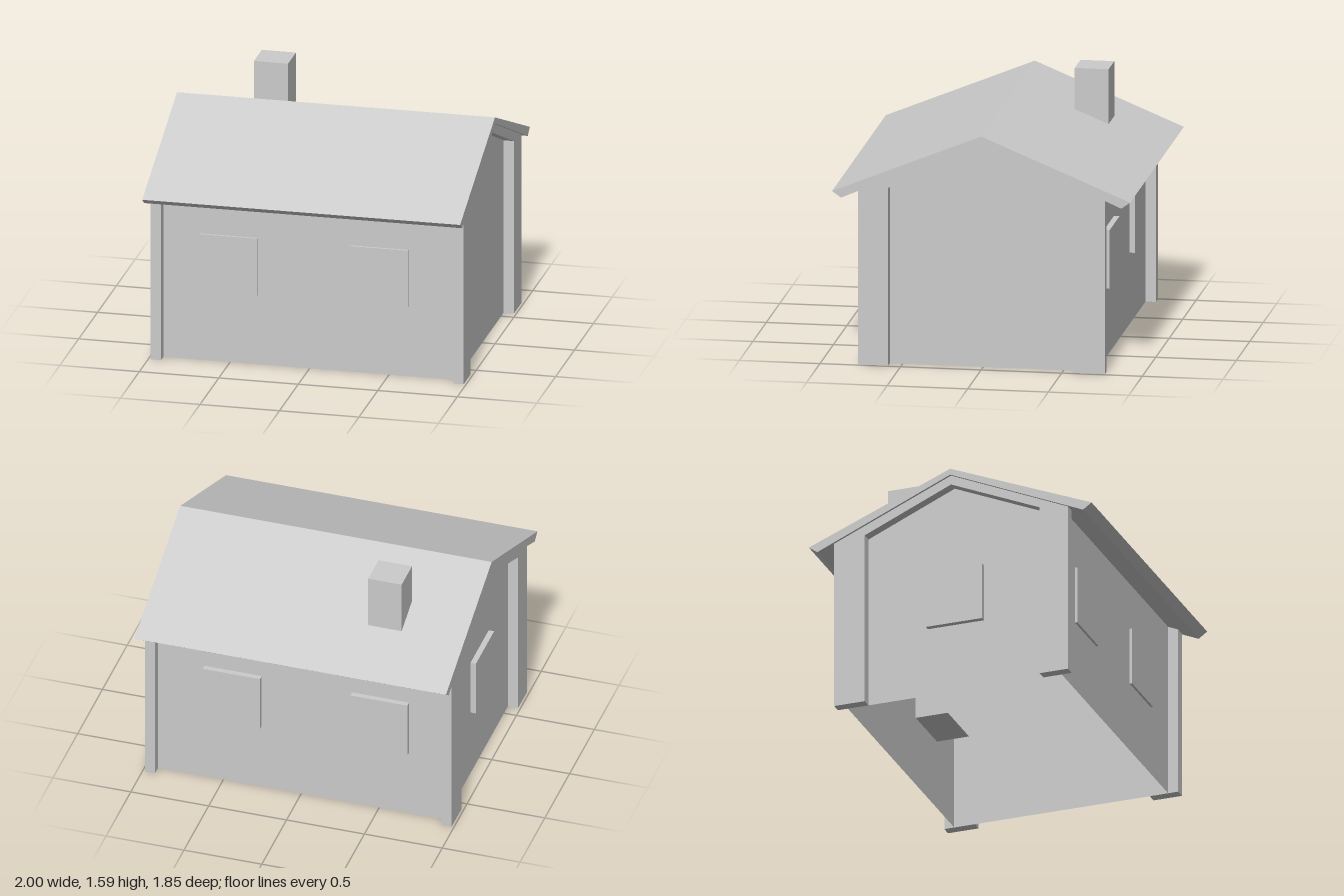
import * as THREE from 'three';

const grey = new THREE.MeshStandardMaterial({ color: 0xcccccc, flatShading: true });
const thin = new THREE.MeshStandardMaterial({ color: 0xcccccc, flatShading: true, side: THREE.DoubleSide });

const WALL_X = 0.92, WALL_Z = 0.7;    // wall sheets
const POST_X = 0.985, POST_Z = 0.765; // outside of the gable frames
const RIDGE = 1.43;                   // ridge of the roof underside
const under = (z) => RIDGE - 0.437 * Math.abs(z);

// Shape from [z, y] points
const outline = (points) => new THREE.Shape(points.map(([z, y]) => new THREE.Vector2(z, y)));

// Extrude a [z, y] shape along x, centred on cx
function extrudeX(shape, length, cx) {
  return new THREE.ExtrudeGeometry(shape, { depth: length, bevelEnabled: false })
    .translate(0, 0, -length / 2).rotateY(-Math.PI / 2).translate(cx, 0, 0);
}

export function createModel() {
  const house = new THREE.Group();
  house.name = 'house';
  const add = (name, geometry, material = grey) => {
    const mesh = new THREE.Mesh(geometry, material);
    mesh.name = name;
    house.add(mesh);
    return mesh;
  };

  // Pitched roof slab
  add('roof', extrudeX(outline([
    [0, 1.47], [-0.925, 1.09], [-0.87, 1.05], [0, RIDGE], [0.87, 1.05], [0.925, 1.09],
  ]), 2, 0));

  // Long walls: thin sheets, open underneath
  const wallTop = under(WALL_Z);
  for (const side of [1, -1]) {
    const wall = add(side > 0 ? 'frontWall' : 'backWall',
      new THREE.PlaneGeometry(2 * WALL_X, wallTop), thin);
    wall.position.set(0, wallTop / 2, side * WALL_Z);
    if (side < 0) wall.rotation.y = Math.PI;
  }

  // Gable walls, each set back behind a frame of corner posts and rafters
  const gable = outline([[-WALL_Z, 0], [WALL_Z, 0], [WALL_Z, wallTop], [0, RIDGE], [-WALL_Z, wallTop]]);
  const frame = outline([
    [-POST_Z, 0], [-0.565, 0], [-0.565, 1.12], [0, 1.37], [0.58, 1.12], [0.58, 0],
    [POST_Z, 0], [POST_Z, under(POST_Z)], [0, RIDGE], [-POST_Z, under(POST_Z)],
  ]);
  for (const side of [1, -1]) {
    const name = side > 0 ? 'left' : 'right';
    add(name + 'GableWall', new THREE.ShapeGeometry(gable).rotateY(-Math.PI / 2)
      .translate(side * WALL_X, 0, 0), thin);
    add(name + 'GableFrame', extrudeX(frame, POST_X - WALL_X, side * (POST_X + WALL_X) / 2));
  }

  // Window boxes reach into the house and are open on the inside
  const depth = 0.245;
  const windowBox = new THREE.BoxGeometry(0.367, 0.37, depth).translate(0, 0, -depth / 2);
  windowBox.setIndex(Array.from(windowBox.index.array).slice(0, 30));
  const addWindow = (name, x, z, turn) => {
    const mesh = add(name, windowBox, thin);
    mesh.position.set(x, 0.635, z);
    mesh.rotation.y = turn;
  };
  for (const x of [-0.508, 0.438]) {
    addWindow('frontWindow', x, 0.715, 0);
    addWindow('backWindow', x, -0.735, Math.PI);
  }
  addWindow('gableWindow', -0.955, 0.0075, -Math.PI / 2);

  // Chimney
  add('chimney', new THREE.BoxGeometry(0.215, 0.385, 0.21)).position.set(-0.492, 1.3925, -0.455);

  return house;
}
